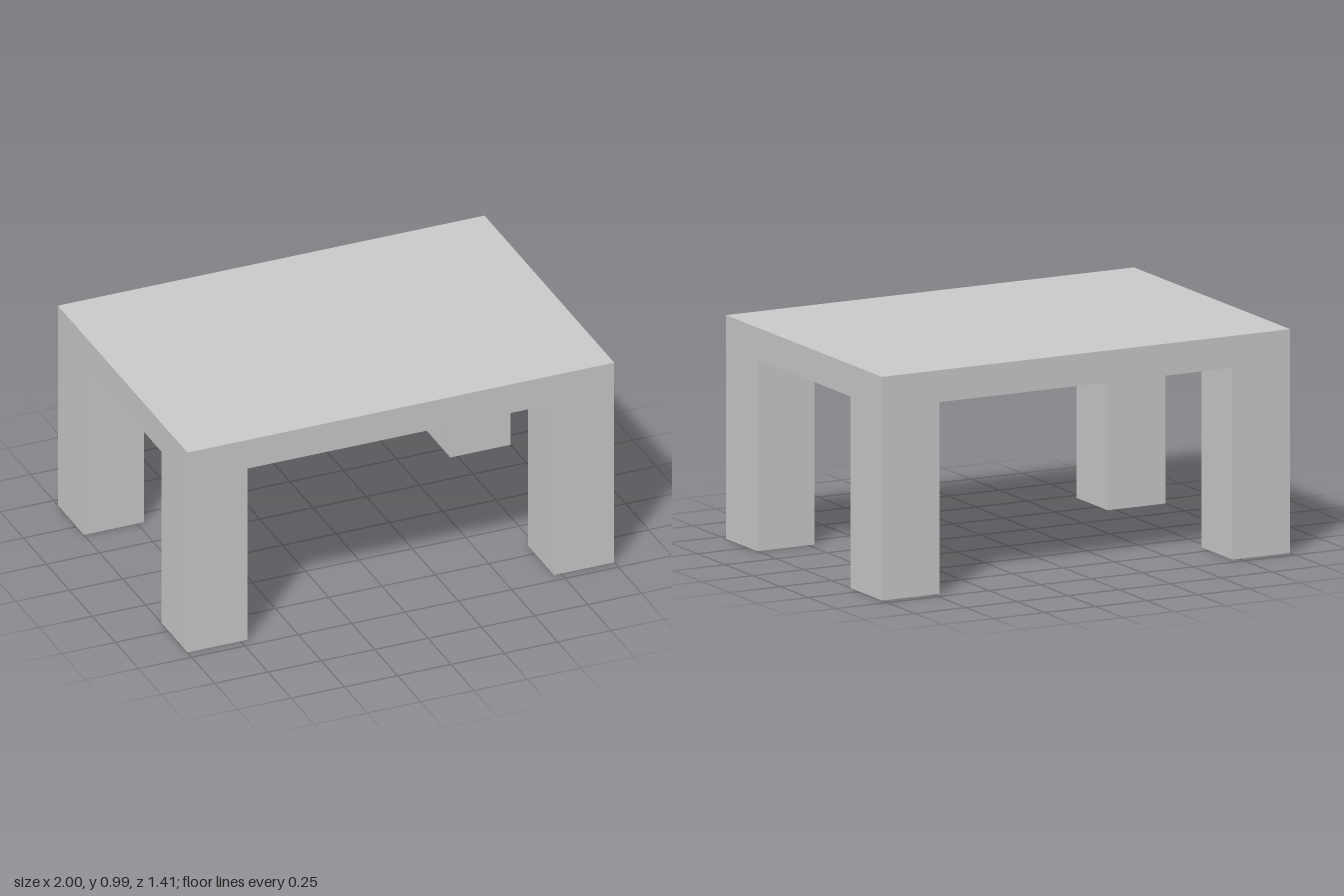
import * as THREE from 'three';

const WIDTH = 2, DEPTH = 1.408, HEIGHT = 0.986;
const LEG = 0.282, SLAB = 0.141;

export function createModel() {
  const table = new THREE.Group();
  table.name = 'table';
  const material = new THREE.MeshStandardMaterial({ color: 0xcccccc, flatShading: true });

  const addBox = (name, w, h, d, x, y, z) => {
    const mesh = new THREE.Mesh(new THREE.BoxGeometry(w, h, d), material);
    mesh.name = name;
    mesh.position.set(x, y, z);
    table.add(mesh);
  };

  // Thick slab top
  addBox('tableTop', WIDTH, SLAB, DEPTH, 0, HEIGHT - SLAB / 2, 0);

  // Four square legs, flush with the corners of the top
  const legHeight = HEIGHT - SLAB;
  for (const [side, sx] of [['Left', 1], ['Right', -1]]) {
    for (const [end, sz] of [['front', 1], ['back', -1]]) {
      addBox(`${end}${side}Leg`, LEG, legHeight, LEG,
        sx * (WIDTH - LEG) / 2, legHeight / 2, sz * (DEPTH - LEG) / 2);
    }
  }
  return table;
}
